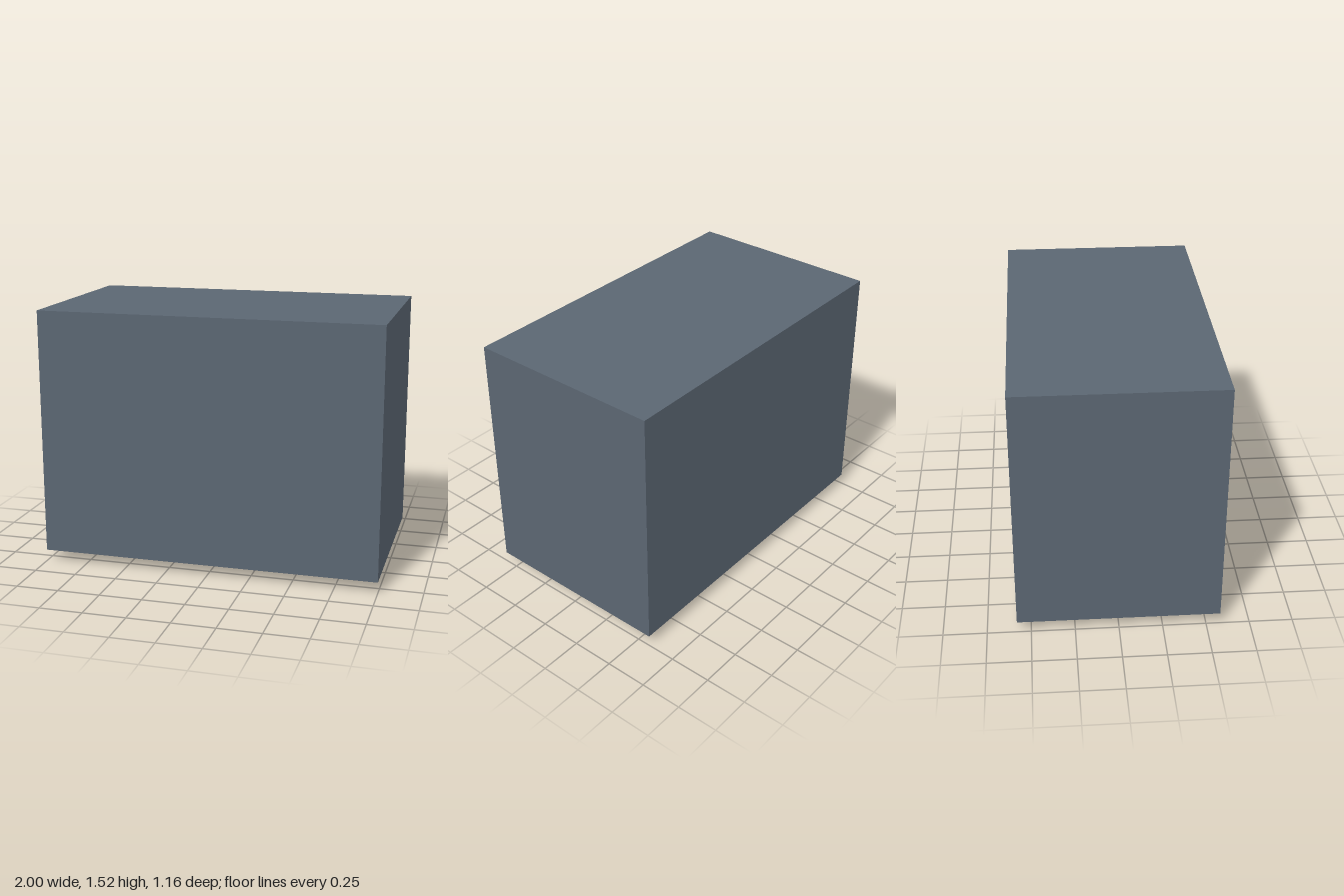
import * as THREE from 'three';

// Box from its minimum and maximum corners
function block(name, color, [x0, y0, z0], [x1, y1, z1]) {
  const geometry = new THREE.BoxGeometry(x1 - x0, y1 - y0, z1 - z0);
  const mesh = new THREE.Mesh(geometry, new THREE.MeshStandardMaterial({ color }));
  mesh.name = name;
  mesh.position.set((x0 + x1) / 2, (y0 + y1) / 2, (z0 + z1) / 2);
  return mesh;
}

export function createModel() {
  const model = new THREE.Group();
  model.name = 'cabinet';
  model.add(
    // Main housing
    block('housing', 0x5b6672, [-1, 0.068, -0.58], [1, 1.52, 0.58]),
    // Wide pale panel on the underside
    block('lowerPanel', 0xb4d0e0, [-0.87, 0, -0.355], [0.355, 0.068, 0.355]),
    // Small grey panel beside it
    block('sidePanel', 0x757c88, [0.58, 0, -0.325], [0.9, 0.068, 0.325]),
  );
  return model;
}
